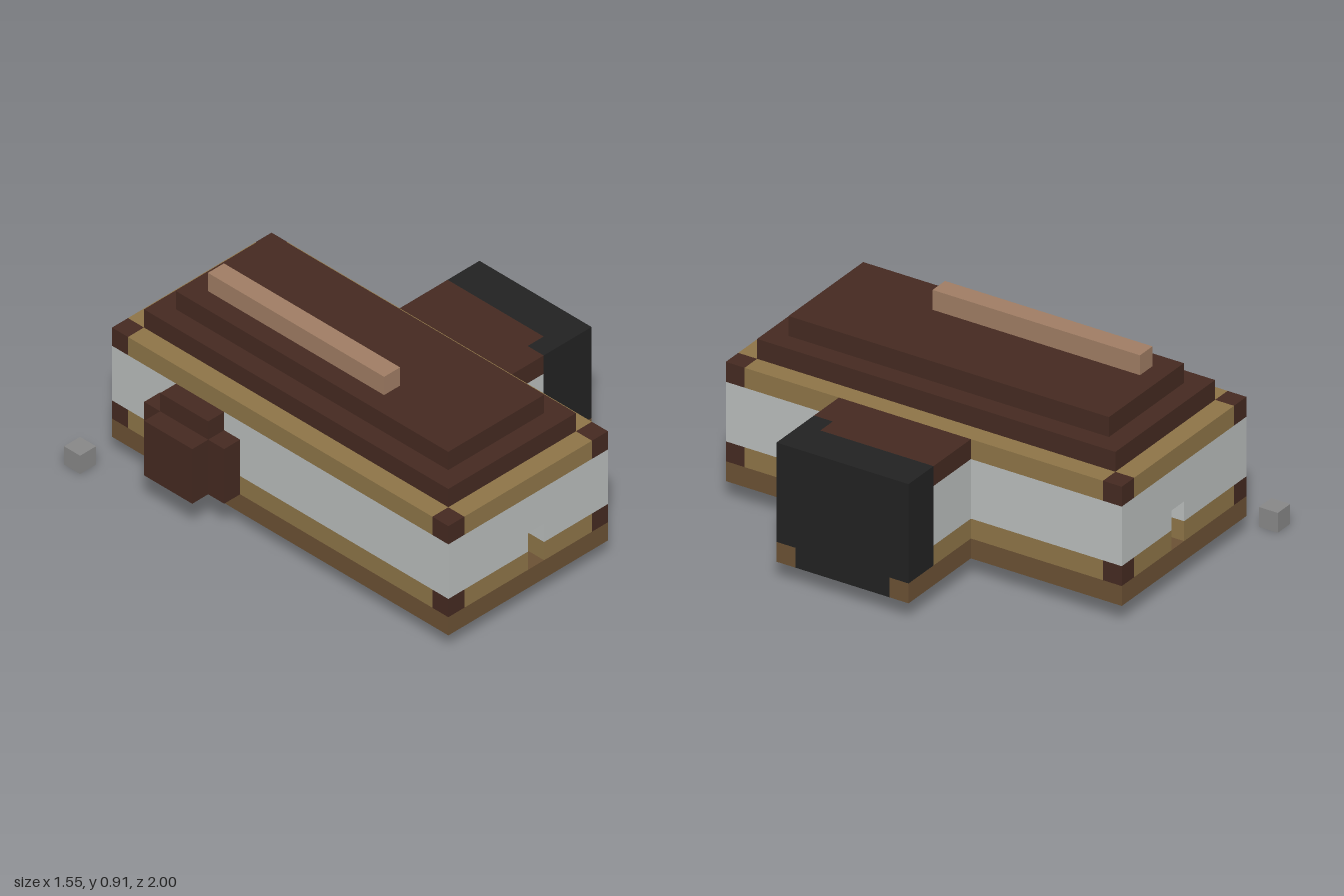
import * as THREE from 'three';

const U = 1 / 11; // one block

const mat = (name, color) => {
  const m = new THREE.MeshStandardMaterial({ color });
  m.name = name;
  return m;
};

export function createModel() {
  const base = mat('footing brown', 0x6b5134);
  const trim = mat('timber tan', 0x8e7548);
  const wall = mat('plaster grey', 0xbabebd);
  const dark = mat('dark wood', 0x452a21);
  const ridge = mat('ridge wood', 0xa07d64);
  const black = mat('coal black', 0x222222);
  const stone = mat('stone grey', 0x888888);
  const moss = mat('moss green', 0x4f5830);

  const model = new THREE.Group();
  model.name = 'house';
  const group = (name) => {
    const g = new THREE.Group();
    g.name = name;
    model.add(g);
    return g;
  };
  // Box from block-coordinate ranges
  const box = (parent, name, m, [x0, x1], [y0, y1], [z0, z1]) => {
    const geo = new THREE.BoxGeometry((x1 - x0) * U, (y1 - y0) * U, (z1 - z0) * U);
    const mesh = new THREE.Mesh(geo, m);
    mesh.position.set((x0 + x1) / 2 * U, (y0 + y1) / 2 * U, (z0 + z1) / 2 * U);
    mesh.name = name;
    parent.add(mesh);
  };

  // Hollow main hall: layers of walls with a doorway in both ends
  const hall = group('mainHall');
  box(hall, 'floor', base, [-6.5, 3.5], [1, 2], [-10, 11]);
  const layers = [
    ['lowerTrim', trim, 2, 3, true],
    ['wallBesideDoor', wall, 3, 4, true],
    ['wall', wall, 4, 6, false],
    ['upperTrim', trim, 6, 7, false],
  ];
  for (const [name, m, y0, y1, door] of layers) {
    const y = [y0, y1];
    for (const x of [[-6.5, -5.5], [2.5, 3.5]]) {
      box(hall, name, m, x, y, [-9, 10]);
      for (const z of [[-10, -9], [10, 11]]) {
        box(hall, 'cornerPost', m === trim ? dark : m, x, y, z);
      }
    }
    const spans = door ? [[-5.5, -1.5], [-0.5, 2.5]] : [[-5.5, 2.5]];
    for (const z of [[-10, -9], [10, 11]]) {
      for (const x of spans) box(hall, name, m, x, y, z);
    }
  }

  // Stepped roof and ridge beam
  const roof = group('roof');
  box(roof, 'lowerRoof', dark, [-5.5, 2.5], [7, 8], [-9, 10]);
  box(roof, 'upperRoof', dark, [-4.5, 1.5], [8, 9], [-8, 9]);
  box(roof, 'ridgeBeam', ridge, [-3.5, -2.5], [9, 10], [-7, 4]);

  // Side wing with a black end
  const wing = group('sideWing');
  box(wing, 'wingFooting', base, [3.5, 5.5], [1, 2], [-2, 5]);
  for (const z of [[-2, -1], [4, 5]]) box(wing, 'footingCorner', base, [5.5, 8.5], [1, 2], z);
  box(wing, 'blackFooting', black, [5.5, 8.5], [1, 2], [-1, 4]);
  for (const [name, m, y] of [
    ['wingLowerTrim', trim, [2, 3]],
    ['wingWall', wall, [3, 6]],
    ['wingRoof', dark, [6, 7]],
  ]) {
    box(wing, name, m, [3.5, 6.5], y, [-2, 4]);
    box(wing, name, m, [3.5, 5.5], y, [4, 5]);
  }
  box(wing, 'blackEnd', black, [6.5, 8.5], [2, 7], [-2, 5]);
  box(wing, 'blackColumn', black, [5.5, 6.5], [2, 7], [4, 5]);

  // Stepped chimney stack on the long side
  const stack = group('chimneyStack');
  box(stack, 'wideStep', dark, [-7.5, -6.5], [2, 5], [-7, -2]);
  box(stack, 'tallStep', dark, [-7.5, -6.5], [5, 6], [-6, -3]);
  box(stack, 'outerStep', dark, [-8.5, -7.5], [2, 5], [-6, -3]);

  // Thin patches on the underside
  const under = group('underside');
  box(under, 'mossPatch', moss, [-4.5, 2.8], [0.98, 1], [4, 8]);
  box(under, 'plasterPatch', wall, [-3.8, 2], [0.95, 0.98], [5, 7]);
  box(under, 'blackPatch', black, [4.5, 5.5], [0.98, 1], [1.5, 2.5]);

  box(model, 'looseStone', stone, [-8.5, -7.5], [0, 1], [-11, -10]);
  return model;
}
